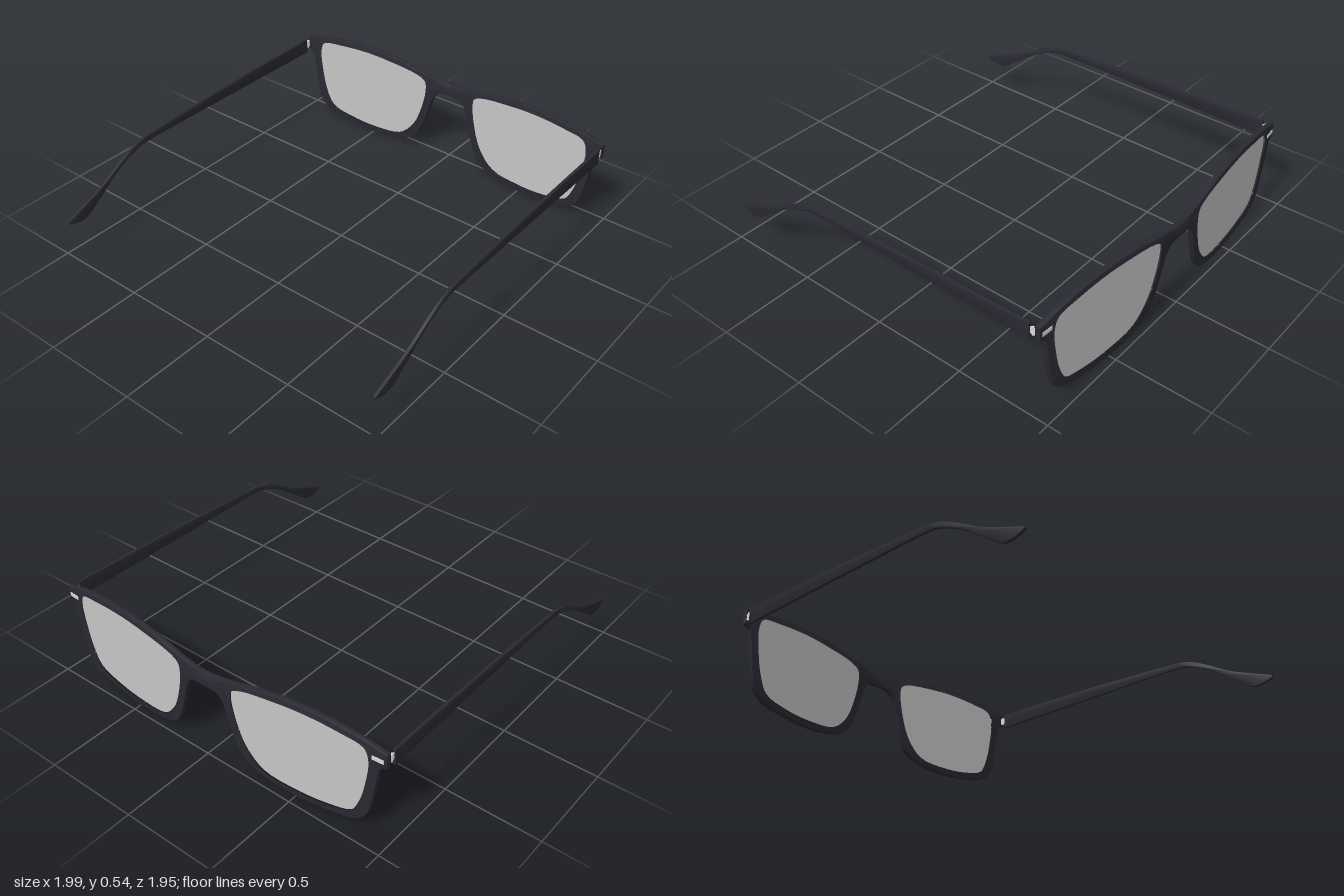
import * as THREE from 'three';
import { toCreasedNormals } from 'three/addons/utils/BufferGeometryUtils.js';

const frameMat = new THREE.MeshStandardMaterial({ color: 0x2b2a33 });
frameMat.name = 'darkPlastic';
const lensMat = new THREE.MeshStandardMaterial({ color: 0xc6c6c6 });
lensMat.name = 'greyLens';
const metalMat = new THREE.MeshStandardMaterial({ color: 0xdcdcdc });
metalMat.name = 'paleMetal';

const vec = (list) => list.map(([a, b]) => new THREE.Vector2(a, b));

// Half-frame outline as (distance from the middle, height)
const browEdge = vec([[0, 0.485], [0.08, 0.487], [0.19, 0.503], [0.345, 0.533], [0.5, 0.546],
  [0.66, 0.545], [0.82, 0.53], [0.972, 0.5]]);
const lowerEdge = vec([[0.972, 0.424], [0.94, 0.41], [0.925, 0.35], [0.905, 0.22], [0.88, 0.115],
  [0.83, 0.057], [0.74, 0.026], [0.53, 0.003], [0.37, 0.014], [0.24, 0.054], [0.178, 0.14],
  [0.136, 0.27], [0.11, 0.355], [0.073, 0.4], [0, 0.41]]);
const lensEdge = vec([[0.86, 0.49], [0.886, 0.43], [0.875, 0.3], [0.843, 0.168], [0.796, 0.086],
  [0.66, 0.047], [0.5, 0.035], [0.32, 0.056], [0.23, 0.14], [0.183, 0.246], [0.152, 0.4],
  [0.162, 0.455], [0.215, 0.483], [0.4, 0.51], [0.555, 0.52], [0.74, 0.511]]);

// Arm side profile as (x, y)
const armTop = vec([[0.868, 0.495], [0.25, 0.482], [0, 0.472], [-0.38, 0.453], [-0.5, 0.435],
  [-0.605, 0.387], [-0.74, 0.31], [-0.87, 0.255], [-0.988, 0.21]]);
const armBottom = vec([[-0.988, 0.2], [-0.955, 0.186], [-0.905, 0.176], [-0.855, 0.187],
  [-0.765, 0.25], [-0.63, 0.345], [-0.5, 0.403], [-0.39, 0.418], [0, 0.417], [0.868, 0.408]]);

function closedLoop(points, PathType) {
  const curve = new THREE.CatmullRomCurve3(points.map((p) => new THREE.Vector3(p.x, p.y, 0)), true);
  return new PathType(curve.getPoints(64).slice(0, -1).map((p) => new THREE.Vector2(p.x, p.y)));
}

function outline(first, second) {
  const shape = new THREE.Shape();
  shape.moveTo(first[0].x, first[0].y);
  shape.splineThru(first.slice(1));
  shape.lineTo(second[0].x, second[0].y);
  shape.splineThru(second.slice(1));
  shape.closePath();
  return shape;
}

// Slab between two depths, with an optional small bevel inside the outline
function slab(shape, from, to, bevel = 0) {
  const g = new THREE.ExtrudeGeometry(shape, {
    depth: to - from - 2 * bevel, curveSegments: 3, bevelEnabled: bevel > 0,
    bevelSize: bevel, bevelOffset: -bevel, bevelThickness: bevel, bevelSegments: 2,
  });
  return g.translate(0, 0, from + bevel);
}

// Turns a flat front piece to face +x and sweeps it back from the bridge
function wrap(geometry, side) {
  const g = geometry.index ? geometry.toNonIndexed() : geometry;
  const p = g.attributes.position;
  for (let i = 0; i < p.count; i++) {
    const s = p.getX(i) < 0.0065 ? 0 : p.getX(i);
    const z = s * side;
    p.setXYZ(i, 0.993 + p.getZ(i) - 0.07 * s + 0.005 * z, p.getY(i), z);
  }
  // The +z half is reflected, so its corners are reordered
  if (side > 0) {
    const a = new THREE.Vector3(), b = new THREE.Vector3();
    for (let i = 0; i < p.count; i += 3) {
      a.fromBufferAttribute(p, i + 1);
      b.fromBufferAttribute(p, i + 2);
      p.setXYZ(i + 1, b.x, b.y, b.z);
      p.setXYZ(i + 2, a.x, a.y, a.z);
    }
  }
  g.deleteAttribute('normal');
  g.deleteAttribute('uv');
  return toCreasedNormals(g, 0.6);
}

export function createModel() {
  const model = new THREE.Group();
  model.name = 'eyeglasses';
  const add = (name, geometry, material) => {
    const mesh = new THREE.Mesh(geometry, material);
    mesh.name = name;
    model.add(mesh);
    return mesh;
  };

  for (const side of [1, -1]) {
    const label = side > 0 ? 'left' : 'right';

    // Front rim with its lens opening
    const rim = outline(browEdge, lowerEdge);
    rim.holes.push(closedLoop(lensEdge, THREE.Path));
    add(label + 'Rim', wrap(slab(rim, -0.029, 0, 0.004), side), frameMat);

    // Lens
    const lens = closedLoop(lensEdge, THREE.Shape);
    add(label + 'Lens', wrap(slab(lens, -0.018, -0.01), side), lensMat);

    // Metal inlay at the outer corner
    const inlay = new THREE.BoxGeometry(0.058, 0.021, 0.006).translate(0.929, 0.457, 0);
    add(label + 'Inlay', wrap(inlay, side), metalMat);

    // Arm, with the curved ear end
    const z = side * 0.966;
    const shift = 0.005 * side;
    const arm = slab(outline(armTop, armBottom), -0.008, 0.008, 0.003);
    arm.deleteAttribute('normal');
    add(label + 'Arm', toCreasedNormals(arm, 0.6), frameMat).position.set(shift, 0, z);

    // Hinge leaf and knuckles
    add(label + 'HingeLeaf', new THREE.BoxGeometry(0.04, 0.035, 0.006), metalMat)
      .position.set(0.882 + shift, 0.457, z - side * 0.002);
    for (const y of [0.441, 0.457, 0.473]) {
      add(label + 'HingeKnuckle', new THREE.CylinderGeometry(0.006, 0.006, 0.013, 12), metalMat)
        .position.set(0.882 + shift, y, z - side * 0.002);
    }
  }
  return model;
}
